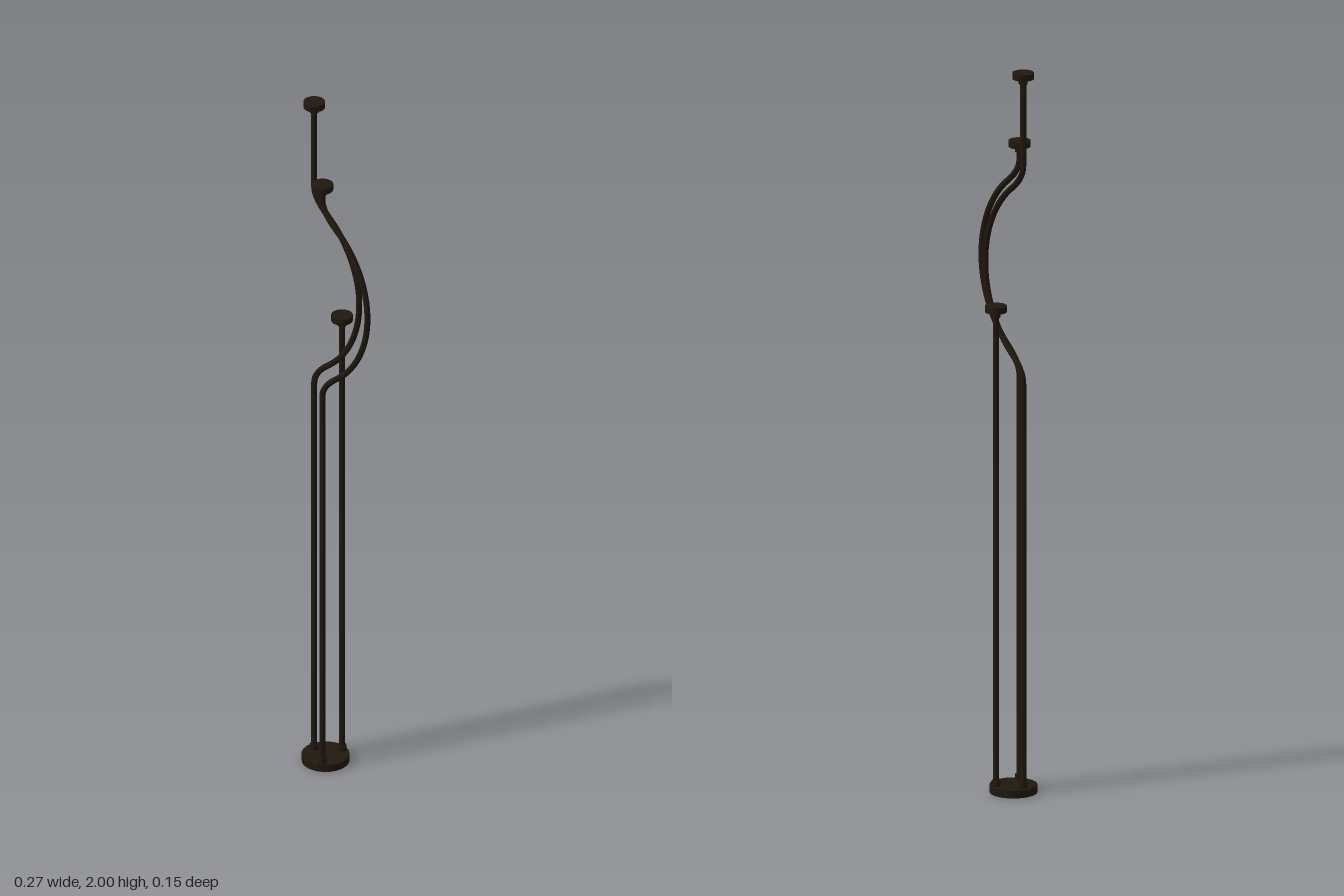
import * as THREE from 'three';

const R = 0.0082; // rod radius

export function createModel() {
  const group = new THREE.Group();
  const mat = new THREE.MeshStandardMaterial({ color: 0x1f180e });
  const add = (name, geo, x, y, z) => {
    const m = new THREE.Mesh(geo, mat);
    m.name = name;
    m.position.set(x, y, z);
    group.add(m);
  };
  const v = (x, y) => new THREE.Vector3(x, y, 0);

  // Round foot plate
  add('base', new THREE.CylinderGeometry(0.064, 0.064, 0.021, 20), -0.066, 0.0105, 0);

  // Rod outline: straight, or bowed sideways in a circular arc with soft bends
  const rodPath = (top, bowed) => {
    const path = new THREE.CurvePath();
    if (!bowed) {
      path.add(new THREE.LineCurve3(v(0, 0.01), v(0, top)));
      return path;
    }
    const midY = 1.44, half = 0.228, radius = 0.288, cx = 0.162 - radius;
    const a = Math.asin(half / radius);
    const arc = [];
    for (let i = 0; i <= 24; i++) {
      const t = -a + (2 * a * i) / 24;
      arc.push(v(cx + radius * Math.cos(t), midY + radius * Math.sin(t)));
    }
    const lowBend = midY - 0.3, highBend = midY + 0.3;
    path.add(new THREE.LineCurve3(v(0, 0.01), v(0, lowBend)));
    path.add(new THREE.QuadraticBezierCurve3(v(0, lowBend), v(0, midY - 0.267), arc[0]));
    path.add(new THREE.CatmullRomCurve3(arc));
    path.add(new THREE.QuadraticBezierCurve3(arc[24], v(0, midY + 0.267), v(0, highBend)));
    path.add(new THREE.LineCurve3(v(0, highBend), v(0, top)));
    return path;
  };

  // Three rods, each with a foot collar, a top collar and a disc cap
  const rods = [
    { name: 'tall', x: -0.105, z: 0.002, top: 2, bowed: true },
    { name: 'middle', x: -0.039, z: 0.042, top: 1.79, bowed: true },
    { name: 'short', x: -0.048, z: -0.045, top: 1.35, bowed: false },
  ];
  for (const { name, x, z, top, bowed } of rods) {
    const tube = new THREE.TubeGeometry(rodPath(top - 0.01, bowed), bowed ? 200 : 1, R, 12);
    add(name + 'Rod', tube, x, 0, z);
    const collar = new THREE.CylinderGeometry(0.012, 0.012, 0.016, 16);
    add(name + 'FootCollar', collar, x, 0.028, z);
    add(name + 'TopCollar', collar, x, top - 0.024, z);
    add(name + 'Cap', new THREE.CylinderGeometry(0.029, 0.029, 0.017, 24), x, top - 0.0085, z);
  }
  return group;
}
